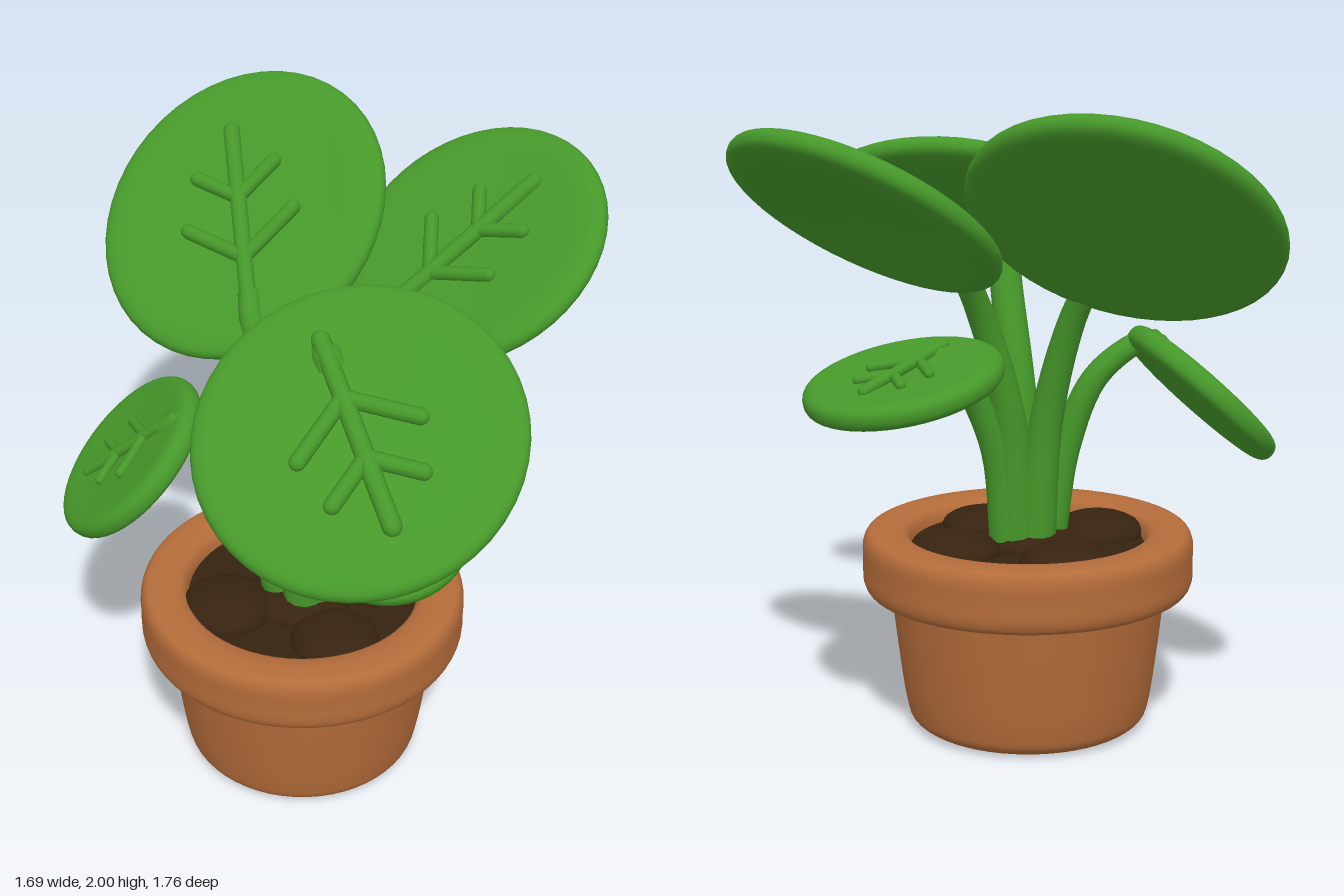
import * as THREE from 'three';

const mat = (name, color) => {
  const m = new THREE.MeshStandardMaterial({ color });
  m.name = name;
  return m;
};
const V = (a) => new THREE.Vector3(...a);

function mesh(name, geo, material) {
  const m = new THREE.Mesh(geo, material);
  m.name = name;
  return m;
}

// Smooth profile turned around the y axis, listed from the underside to the top
function turned(points, steps, segments) {
  const curve = new THREE.CatmullRomCurve3(points.map(([r, y]) => new THREE.Vector3(r, y, 0)), false, 'centripetal');
  const profile = curve.getPoints(steps).map((p) => new THREE.Vector2(Math.max(0, p.x), p.y));
  return new THREE.LatheGeometry(profile, segments);
}

// Round tube that narrows from r0 to r1
function taperedTube(points, r0, r1) {
  const rings = 24, sides = 12;
  const curve = new THREE.CatmullRomCurve3(points);
  const geo = new THREE.TubeGeometry(curve, rings, 1, sides);
  const pos = geo.attributes.position;
  const v = new THREE.Vector3();
  for (let i = 0; i < pos.count; i++) {
    const u = Math.floor(i / (sides + 1)) / rings;
    const c = curve.getPointAt(u);
    v.fromBufferAttribute(pos, i).sub(c).multiplyScalar(r0 + (r1 - r0) * u).add(c);
    pos.setXYZ(i, v.x, v.y, v.z);
  }
  return geo;
}

// Rounded rod between two points
function rod(name, a, b, radius, material) {
  const d = b.clone().sub(a);
  const m = mesh(name, new THREE.CapsuleGeometry(radius, d.length(), 5, 10), material);
  m.position.copy(a).addScaledVector(d, 0.5);
  m.quaternion.setFromUnitVectors(new THREE.Vector3(0, 1, 0), d.normalize());
  return m;
}

// centre, facing normal, horizontal tip direction [x, z], radius, oval [stretch, turn],
// rib start and end, stem points and widths, stem end height on the blade
const LEAVES = [
  { name: 'tallBackRightLeaf', c: [-0.395, 1.665, -0.445], n: [-0.05, 0.76, 0.64], tip: [-0.5, -0.86], r: 0.458, oval: [1.09, -0.6],
    from: -0.84, to: 0.6, stem: [[-0.03, 0.58, -0.03], [-0.07, 1.0, -0.04], [-0.16, 1.32, -0.09]], w: [0.066, 0.034], lift: 0.8 },
  { name: 'tallBackLeftLeaf', c: [0.355, 1.68, -0.51], n: [-0.27, 0.81, 0.51], tip: [0.68, -0.73], r: 0.428, oval: [1, 0],
    from: -0.84, to: 0.6, stem: [[0.02, 0.58, -0.05], [0.04, 1.0, -0.08], [0.1, 1.32, -0.16]], w: [0.066, 0.034], lift: 0.8 },
  { name: 'tallFrontLeaf', c: [0.373, 1.577, 0.48], n: [0.07, 0.835, 0.555], tip: [0.7, 0.72], r: 0.468, oval: [1, 0],
    from: -0.65, to: 0.62, stem: [[0.03, 0.58, 0.06], [0.05, 1.0, 0.09], [0.11, 1.35, 0.17]], w: [0.066, 0.046], lift: 0.2 },
  { name: 'lowRightLeaf', c: [-0.522, 1.067, 0.145], n: [-0.6, 0.72, 0.35], tip: [-1, 0.1], r: 0.295, oval: [1, 0],
    from: -0.78, to: 0.55, stem: [[-0.055, 0.58, 0.04], [-0.11, 0.9, 0.06], [-0.21, 1.13, 0.08]], w: [0.058, 0.032], lift: 0.6 },
  { name: 'lowFrontLeaf', c: [0.328, 1.067, 0.142], n: [0.3, 0.85, 0.43], tip: [0.8, 0.5], r: 0.274, oval: [1, 0],
    from: -0.6, to: 0.55, stem: [[0.055, 0.58, 0.04], [0.09, 0.85, 0.045], [0.16, 1.05, 0.05]], w: [0.058, 0.033], lift: 0.3 },
  { name: 'lowBackLeaf', c: [0.268, 1.178, -0.435], n: [0.13, 0.97, -0.19], tip: [0.4, -0.9], r: 0.302, oval: [1, 0],
    from: -0.65, to: 0.55, stem: [[0.05, 0.58, -0.06], [0.08, 0.9, -0.09], [0.14, 1.1, -0.16]], w: [0.058, 0.033], lift: 0.3 },
];

function makeLeaf(spec, green) {
  const g = new THREE.Group();
  g.name = spec.name;
  const r = spec.r, h = 0.037;
  const n = V(spec.n).normalize();
  const t = new THREE.Vector3(spec.tip[0], 0, spec.tip[1]);
  t.y = -(n.x * t.x + n.z * t.z) / n.y;
  t.normalize();
  const s = n.clone().cross(t);

  // Blade frame: y is the facing normal, z runs to the tip
  const blade = new THREE.Group();
  blade.name = 'blade';
  blade.quaternion.setFromRotationMatrix(new THREE.Matrix4().makeBasis(s, n, t));
  blade.position.copy(V(spec.c));
  const disc = mesh('leafDisc', turned([
    [0, -h * 0.7], [r * 0.6, -h * 0.9], [r * 0.9, -h], [r * 0.98, -h * 0.6], [r, 0],
    [r * 0.98, h * 0.6], [r * 0.9, h], [r * 0.6, h * 0.95], [0, h * 0.7],
  ], 40, 48), green);
  disc.scale.z = spec.oval[0];
  disc.rotation.y = spec.oval[1];
  blade.add(disc);

  // Midrib and two pairs of side veins
  const vr = r * 0.052;
  const at = (x, z) => new THREE.Vector3(x * r, h + vr * 0.15, z * r);
  blade.add(rod('midrib', at(0, spec.from), at(0, spec.to), vr * 1.15, green));
  for (const side of [-1, 1]) {
    for (const [k, len] of [[0.32, 0.38], [0.64, 0.28]]) {
      const z = spec.from + (spec.to - spec.from) * k;
      blade.add(rod('sideVein', at(0, z), at(side * len, z + len * 0.75), vr, green));
    }
  }
  g.add(blade);

  // Stem from the soil into the blade
  const end = V(spec.c).addScaledVector(t, spec.from * r).addScaledVector(n, h * spec.lift);
  const last = end.clone().addScaledVector(t, r * 0.2);
  g.add(mesh('stem', taperedTube([...spec.stem.map(V), end, last], spec.w[0], spec.w[1]), green));
  return g;
}

export function createModel() {
  const green = mat('leafGreen', 0x46982a);
  const clay = mat('terracotta', 0xb46c3a);
  const earth = mat('soilBrown', 0x362310);
  const model = new THREE.Group();
  model.name = 'pottedPlant';

  // Pot body with a recessed underside
  model.add(mesh('potBody', turned([
    [0, 0.06], [0.18, 0.06], [0.235, 0.045], [0.27, 0.015], [0.3, 0.002], [0.34, 0.005],
    [0.375, 0.03], [0.39, 0.08], [0.414, 0.25], [0.438, 0.46],
  ], 60, 56), clay));

  // Thick rounded rim
  model.add(mesh('potRim', turned([
    [0.39, 0.445], [0.47, 0.44], [0.505, 0.448], [0.521, 0.475], [0.523, 0.54], [0.521, 0.605],
    [0.505, 0.632], [0.47, 0.64], [0.42, 0.638], [0.385, 0.625], [0.37, 0.59], [0.37, 0.52],
  ], 60, 64), clay));

  // Soil bed with low clods
  const bed = mesh('soilBed', new THREE.CircleGeometry(0.385, 48).rotateX(-Math.PI / 2), earth);
  bed.position.y = 0.585;
  model.add(bed);
  for (const [x, z, rx, rz, h] of [
    [-0.19, 0.17, 0.15, 0.15, 0.07], [0.2, -0.16, 0.15, 0.15, 0.065], [-0.17, -0.18, 0.15, 0.14, 0.06],
    [0.19, 0.18, 0.14, 0.14, 0.055], [0, 0.02, 0.17, 0.17, 0.06],
  ]) {
    const clod = mesh('soilClod', new THREE.SphereGeometry(1, 24, 8, 0, Math.PI * 2, 0, Math.PI / 2), earth);
    clod.scale.set(rx, h, rz);
    clod.position.set(x, 0.585, z);
    model.add(clod);
  }

  for (const spec of LEAVES) model.add(makeLeaf(spec, green));
  return model;
}
